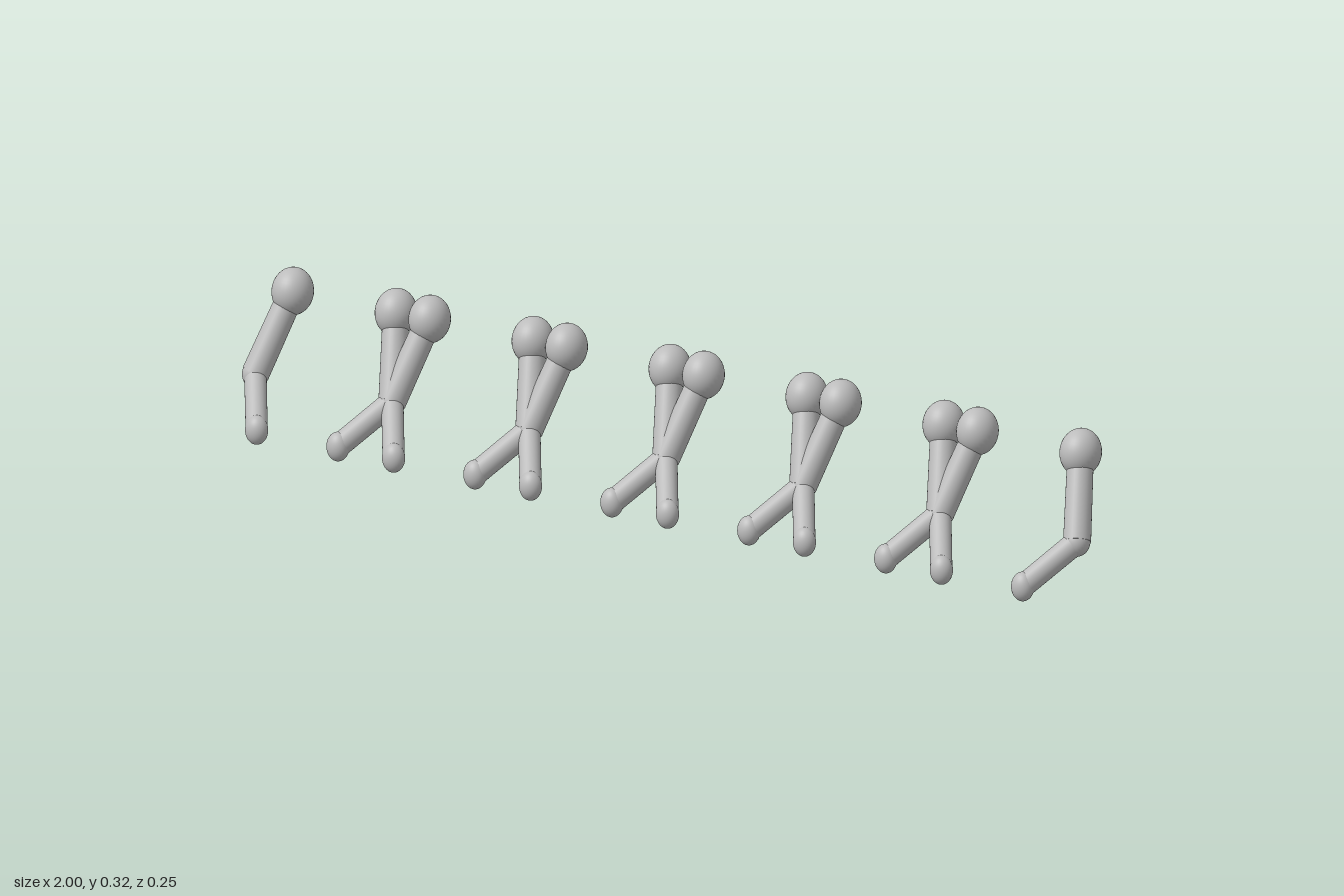
import * as THREE from 'three';

const grey = new THREE.MeshStandardMaterial({ color: 0xbcbcbc });
grey.name = 'grey';

// Limbs are slightly flattened; points are given in final units.
const SQUASH = new THREE.Vector3(0.86, 1, 0.94);
const point = (x, y, z) => new THREE.Vector3(x, y, z).divide(SQUASH);

function ball(name, centre, rx, ry, rz) {
  const mesh = new THREE.Mesh(new THREE.SphereGeometry(1, 32, 20), grey);
  mesh.scale.set(rx, ry, rz).divide(SQUASH);
  mesh.position.copy(centre);
  mesh.name = name;
  return mesh;
}

function rod(name, from, to, r0, r1) {
  const dir = to.clone().sub(from);
  const mesh = new THREE.Mesh(new THREE.CylinderGeometry(r1, r0, dir.length(), 32), grey);
  mesh.position.copy(from).add(to).multiplyScalar(0.5);
  mesh.quaternion.setFromUnitVectors(new THREE.Vector3(0, 1, 0), dir.normalize());
  mesh.name = name;
  return mesh;
}

// One bent limb with its elbow above x = 0, leaning towards side (+1 or -1)
function createLimb(side) {
  const limb = new THREE.Group();
  const shoulder = point(side * 0.04, 0.269, -0.08);
  const elbow = point(0, 0.108, 0);
  const hand = point(side * 0.066, 0.031, 0.104);
  limb.add(
    ball('shoulder', shoulder, 0.042, 0.05, 0.047),
    rod('upperArm', elbow, shoulder, 0.0322, 0.0305),
    ball('elbow', elbow, 0.0265, 0.031, 0.0295),
    rod('forearm', elbow, hand, 0.0258, 0.0255),
    ball('hand', hand, 0.024, 0.031, 0.0225)
  );
  limb.scale.copy(SQUASH);
  return limb;
}

export function createModel() {
  const model = new THREE.Group();
  model.name = 'limbRow';
  const count = 6, spacing = 0.325;
  // Each pair of limbs leans inwards, and neighbouring pairs meet at the elbows
  for (let i = 0; i < count; i++) {
    const pair = new THREE.Group();
    pair.name = `limbPair${i + 1}`;
    pair.position.x = (i - (count - 1) / 2) * spacing;
    for (const side of [-1, 1]) {
      const limb = createLimb(-side);
      limb.position.x = side * spacing / 2;
      limb.name = side > 0 ? 'leftLimb' : 'rightLimb';
      pair.add(limb);
    }
    model.add(pair);
  }
  return model;
}
